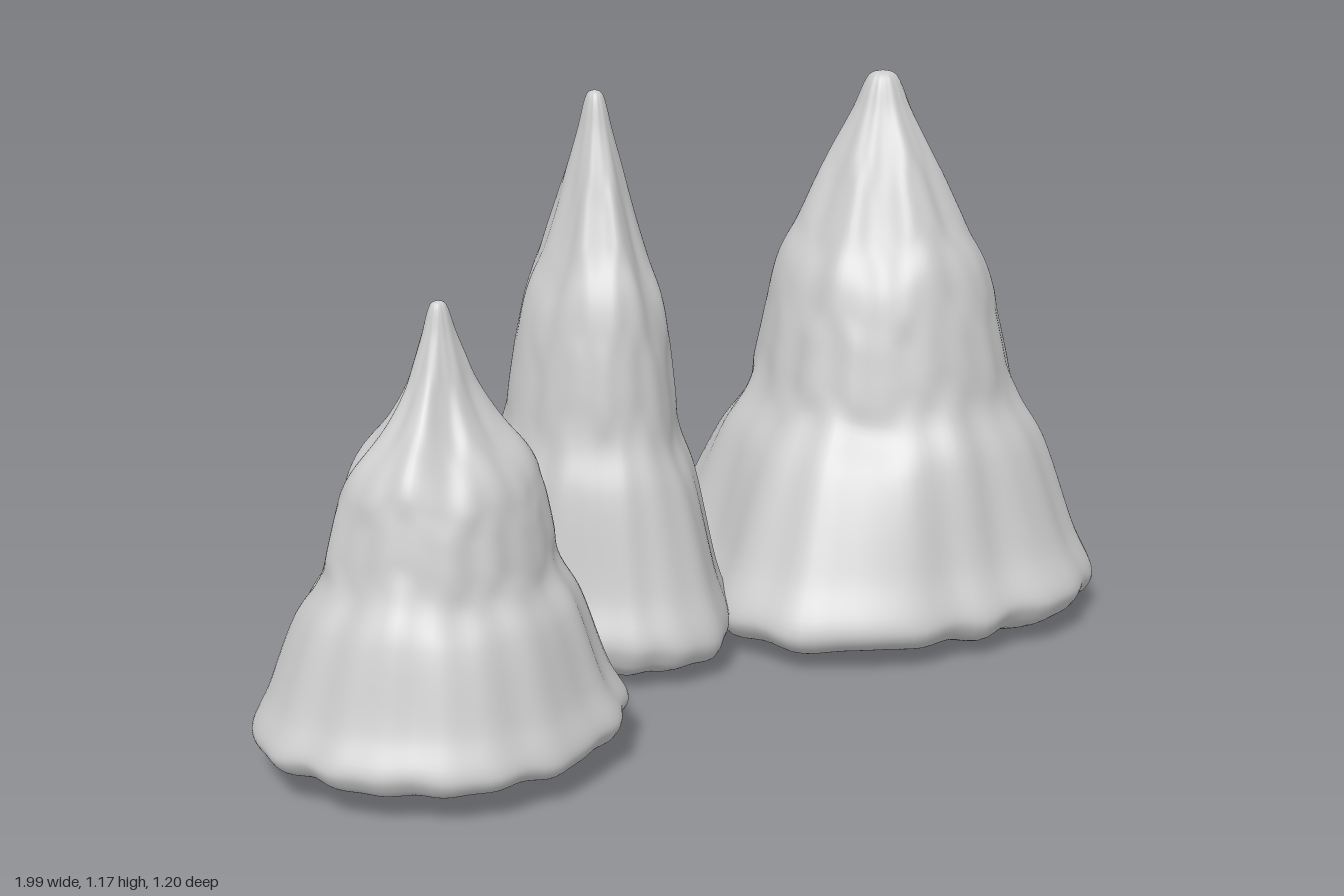
import * as THREE from 'three';
import { mergeVertices } from 'three/addons/utils/BufferGeometryUtils.js';

const material = new THREE.MeshStandardMaterial({ color: 0xcccccc });

// Shared outline: underside, hem, swelling tiers, blunt tip, as [radius, height] from 0 to 1
const outline = [
  [0, 0.012], [0.5, 0.016], [0.88, 0.036], [0.97, 0.056], [1, 0.085], [0.9, 0.17], [0.745, 0.335], [0.62, 0.42],
  [0.575, 0.5], [0.53, 0.58], [0.48, 0.65], [0.4, 0.71], [0.34, 0.76], [0.235, 0.85], [0.135, 0.93], [0.065, 0.99], [0, 1],
].map(([r, h]) => new THREE.Vector3(r, h, 0));

// Heights where a new tier of folds begins
const tiers = [0.41, 0.55, 0.68, 0.8];

// base and tip are [x, y, z]; taper narrows the crown; hem scales the skirt every 30 degrees from +z towards +x
const trees = [
  {
    name: 'wideTree', base: [0.54, 0, -0.14], tip: [0.525, 1.18, -0.155], rx: 0.46, rz: 0.46, taper: 1, lobes: 13, seed: 0.6,
    hem: [0.93, 1.01, 0.98, 0.99, 0.96, 1.01, 1.01, 1.07, 1.12, 0.97, 1.12, 1.06],
  },
  {
    name: 'slimTree', base: [-0.15, 0, -0.168], tip: [-0.128, 1.18, -0.165], rx: 0.28, rz: 0.35, taper: 0.9, lobes: 11, seed: 2.3,
    hem: [0.97, 1.05, 1.01, 0.98, 1.05, 1.07, 1.01, 0.97, 0.95, 0.95, 0.92, 0.9],
  },
  {
    name: 'shortTree', base: [-0.635, 0.03, 0.268], tip: [-0.613, 0.89, 0.255], rx: 0.355, rz: 0.335, taper: 0.65, lobes: 12, seed: 4.1,
    hem: [0.97, 0.94, 0.99, 1.01, 1.04, 1.06, 1, 0.97, 0.96, 1, 0.97, 0.94],
  },
];

// Uneven folds round the tree, roughly -1 to 1
function folds(angle, lobes, seed) {
  return 0.4 * Math.sin(lobes * angle + seed + 1.5 * Math.sin(2 * angle + seed))
    + 0.4 * Math.sin(5 * angle + seed * 2.7 + Math.sin(3 * angle))
    + 0.25 * Math.sin((lobes + 6) * angle + seed * 1.9 + 2 * Math.sin(angle));
}

// Each tier has its own folds, blended into those of the tier below
function tierFolds(angle, h, lobes, seed) {
  return tiers.reduce((fold, start, i) => THREE.MathUtils.lerp(
    fold,
    folds(angle, lobes - i - 1, seed + (i + 1) * 1.7),
    THREE.MathUtils.smoothstep(h, start, start + 0.06),
  ), folds(angle, lobes, seed));
}

function treeGeometry({ base, tip, rx, rz, taper, lobes, seed, hem }) {
  const curve = new THREE.CatmullRomCurve3(outline, false, 'centripetal');
  const points = curve.getPoints(110).map((p) => new THREE.Vector2(Math.max(p.x, 0), p.y));
  const lathe = new THREE.LatheGeometry(points, 120);
  lathe.deleteAttribute('normal');
  lathe.deleteAttribute('uv');
  const geometry = mergeVertices(lathe, 1e-5);
  const skirt = new THREE.CatmullRomCurve3(hem.map((s) => new THREE.Vector3(s, 0, 0)), true, 'catmullrom');

  const { smoothstep, lerp } = THREE.MathUtils;
  const position = geometry.attributes.position;
  for (let i = 0; i < position.count; i++) {
    const x = position.getX(i), h = position.getY(i), z = position.getZ(i);
    const angle = Math.atan2(x, z);
    const r = Math.hypot(x, z);
    const fold = tierFolds(angle, h, lobes, seed);
    const spread = skirt.getPoint((angle / (2 * Math.PI) + 1) % 1).x;
    const radius = r * lerp(spread, 1, smoothstep(h, 0.1, 0.55)) * (1 + 0.026 * fold)
      * lerp(1, taper, smoothstep(h, 0.6, 0.85));
    // Wavy hem, drooping tier edges and a lumpy underside
    const sway = Math.sin(3 * angle + seed);
    const hemWave = 0.01 * r ** 6 * Math.max(0, 1 - h * 5) * (sway - 1.2 * fold);
    const droop = 0.016 * smoothstep(h, 0.2, 0.5) * (1 - smoothstep(h, 0.75, 0.98))
      * (sway + 0.7 * Math.sin(7 * angle + seed * 3));
    const lump = 0.006 * (1 - smoothstep(h, 0.02, 0.08)) * Math.sin(4 * x + seed) * Math.cos(4 * z);
    // Lean the trunk line from base to tip
    const lean = smoothstep(h, 0.1, 1);
    position.setXYZ(
      i,
      lerp(base[0], tip[0], lean) + Math.sin(angle) * radius * rx,
      lerp(base[1], tip[1], h + hemWave + droop + lump),
      lerp(base[2], tip[2], lean) + Math.cos(angle) * radius * rz,
    );
  }
  geometry.computeVertexNormals();
  return geometry;
}

export function createModel() {
  const group = new THREE.Group();
  group.name = 'pineTrees';
  for (const tree of trees) {
    const mesh = new THREE.Mesh(treeGeometry(tree), material);
    mesh.name = tree.name;
    group.add(mesh);
  }
  return group;
}
